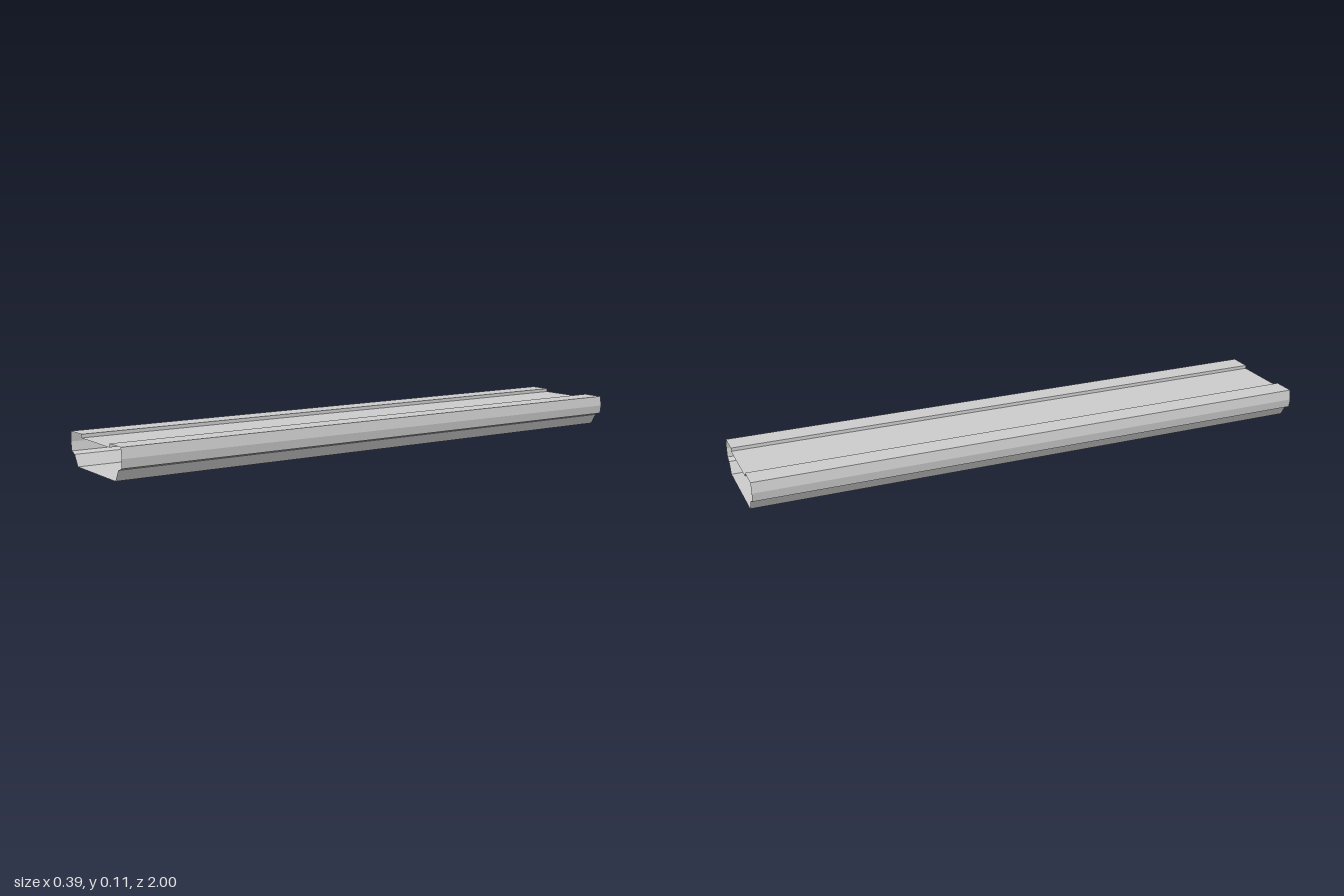
import * as THREE from 'three';

const LENGTH = 2;

// Sweeps a cross-section polyline along z as a thin open sheet
function sweep(name, points, material) {
  const pos = [];
  const h = LENGTH / 2;
  for (let i = 0; i < points.length - 1; i++) {
    const [ax, ay] = points[i];
    const [bx, by] = points[i + 1];
    pos.push(ax, ay, h, ax, ay, -h, bx, by, -h);
    pos.push(ax, ay, h, bx, by, -h, bx, by, h);
  }
  const geometry = new THREE.BufferGeometry();
  geometry.setAttribute('position', new THREE.Float32BufferAttribute(pos, 3));
  geometry.computeVertexNormals();
  const mesh = new THREE.Mesh(geometry, material);
  mesh.name = name;
  return mesh;
}

export function createModel() {
  const group = new THREE.Group();
  group.name = 'hollowSlat';
  const material = new THREE.MeshStandardMaterial({
    color: 0xcccccc, flatShading: true, side: THREE.DoubleSide,
  });

  // Right half of the side wall, from recessed plate edge round to the base edge
  const rail = [
    [0.107, 0.098], [0.107, 0.11], [0.187, 0.11], [0.193, 0.075],
    [0.188, 0.045], [0.166, 0.037], [0.143, 0],
  ];
  // Mirrored copy, listed in reverse so its faces also point outward
  const mirrored = rail.map(([x, y]) => [-x, y]).reverse();

  group.add(sweep('leftRail', rail, material));
  group.add(sweep('rightRail', mirrored, material));

  // Recessed top plate and flat base close the tube; both ends stay open
  group.add(sweep('topPlate', [[-0.107, 0.098], [0.107, 0.098]], material));
  group.add(sweep('basePlate', [[0.143, 0], [-0.143, 0]], material));

  return group;
}
